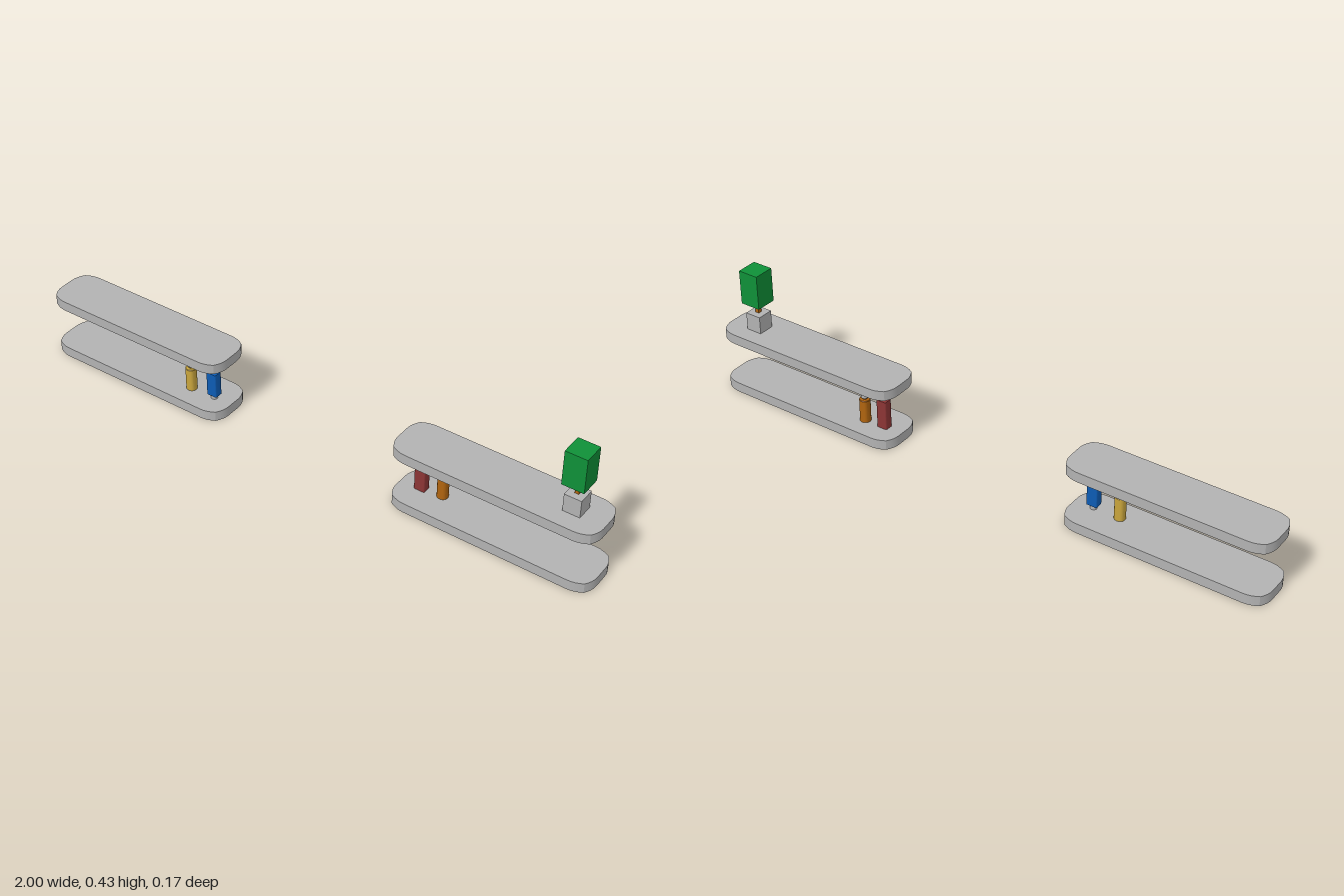
import * as THREE from 'three';
import { toCreasedNormals } from 'three/addons/utils/BufferGeometryUtils.js';

const mat = (name, color) => {
  const m = new THREE.MeshStandardMaterial({ color });
  m.name = name;
  return m;
};

export function createModel() {
  const root = new THREE.Group();
  const grey = mat('grey', 0xb2b2b2);
  const green = mat('leafGreen', 0x0f9038);
  const amber = mat('amber', 0xb0640f);
  const yellow = mat('yellow', 0xc8a43c);
  const blue = mat('blue', 0x0d5cb4);
  const red = mat('darkRed', 0x8c3535);

  const add = (parent, name, geo, material, x, y, z) => {
    const m = new THREE.Mesh(geo, material);
    m.name = name;
    m.position.set(x, y, z);
    parent.add(m);
    return m;
  };
  const group = (name, x, y, z) => {
    const g = new THREE.Group();
    g.name = name;
    g.position.set(x, y, z);
    root.add(g);
    return g;
  };
  // Upright prism from a plan outline, standing on y = 0
  const prism = (shape, height) => {
    const g = new THREE.ExtrudeGeometry(shape, { depth: height, bevelEnabled: false, curveSegments: 4 });
    g.rotateX(-Math.PI / 2);
    return toCreasedNormals(g, 0.45);
  };
  // Rectangle plan with corners cut by (cx, cz), bulging by way of a mid point
  const plan = (hx, hz, cx, cz, mx, mz) => {
    const s = new THREE.Shape();
    const corners = [[1, 1], [-1, 1], [-1, -1], [1, -1]];
    corners.forEach(([sx, sz], i) => {
      const end = [sx * hx, sz * (hz - cz)];
      const side = [sx * (hx - cx), sz * hz];
      const mid = [sx * (hx - mx), sz * (hz - mz)];
      // The handles keep the arc tangent to the long side and to the end
      const h1 = [sx * hx, sz * (hz - (cz + mz) / 2)];
      const h2 = [sx * (hx - (cx + mx) / 2), sz * hz];
      const fwd = i % 2 === 0;
      const [a, ha, hb, b] = fwd ? [end, h1, h2, side] : [side, h2, h1, end];
      if (i === 0) s.moveTo(...a); else s.lineTo(...a);
      s.quadraticCurveTo(...ha, ...mid);
      s.quadraticCurveTo(...hb, ...b);
    });
    s.closePath();
    return s;
  };

  // Two pairs of shelves
  const shelfGeo = prism(plan(0.341, 0.085, 0.065, 0.06, 0.016, 0.015), 0.034);
  for (const side of [-1, 1]) {
    for (const [name, y] of [['lowerShelf', 0], ['upperShelf', 0.184]]) {
      add(root, name, shelfGeo, grey, side * 0.659, y, 0);
    }
  }

  // Round bottles with neck and cap
  const bottleGeo = toCreasedNormals(new THREE.LatheGeometry(
    [[0, 0], [0.018, 0], [0.018, 0.079], [0.0165, 0.081], [0.0065, 0.081], [0.0065, 0.088], [0, 0.088]]
      .map(p => new THREE.Vector2(...p)), 24), 0.6);
  const bottleCapGeo = new THREE.CylinderGeometry(0.0115, 0.0115, 0.014, 24);
  for (const [name, m, x, z] of [['yellowBottle', yellow, -0.474, 0.013], ['amberBottle', amber, 0.459, -0.013]]) {
    const g = group(name, x, 0.034, z);
    add(g, 'bottleBody', bottleGeo, m, 0, 0, 0);
    add(g, 'bottleCap', bottleCapGeo, grey, 0, 0.094, 0);
  }

  // Square bottles: blue stands on its cap, red has the cap on top
  const squareBody = h => prism(plan(0.0185, 0.015, 0.004, 0.004, 0.0012, 0.0012), h);
  const blueBottle = group('blueBottle', -0.384, 0.034, 0.011);
  add(blueBottle, 'bottleBody', squareBody(0.086), blue, 0, 0.015, 0);
  add(blueBottle, 'bottleCap', new THREE.CylinderGeometry(0.011, 0.011, 0.015, 24), grey, 0, 0.0075, 0);

  const redBottle = group('redBottle', 0.388, 0.034, -0.007);
  add(redBottle, 'bottleBody', squareBody(0.102), red, 0, 0, 0);
  add(redBottle, 'bottleCap', new THREE.BoxGeometry(0.022, 0.016, 0.013), grey, 0, 0.11, 0);

  // Potted tree
  const plant = group('pottedPlant', 0.897, 0.218, -0.002);
  add(plant, 'pot', new THREE.BoxGeometry(0.056, 0.06, 0.056), grey, 0, 0.03, 0);
  add(plant, 'trunk', new THREE.BoxGeometry(0.013, 0.037, 0.013), amber, 0, 0.0785, 0);
  add(plant, 'foliage', new THREE.BoxGeometry(0.072, 0.119, 0.072), green, 0, 0.1565, 0);

  return root;
}
